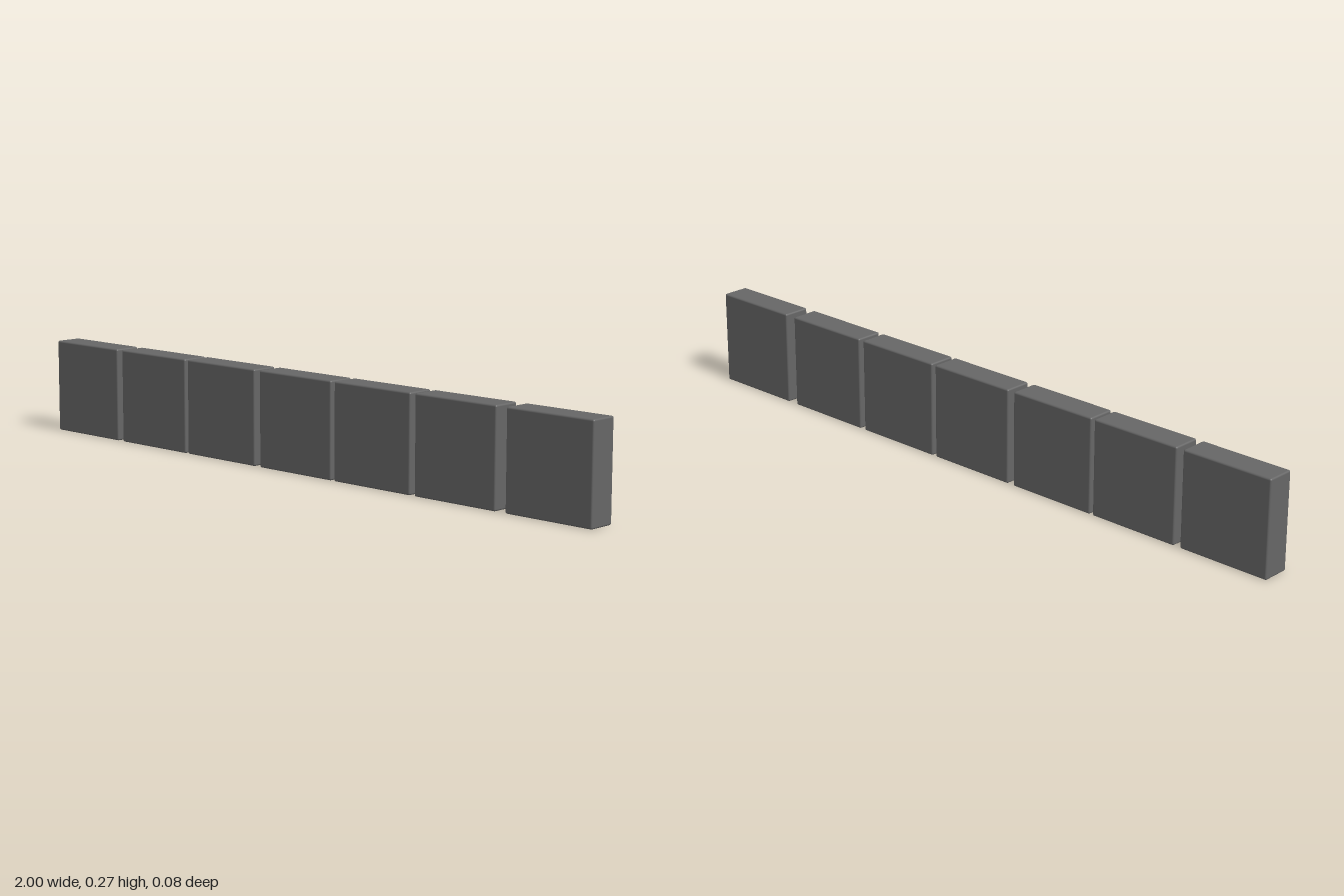
import * as THREE from 'three';
import { RoundedBoxGeometry } from 'three/addons/geometries/RoundedBoxGeometry.js';

export function createModel() {
  const model = new THREE.Group();
  model.name = 'tileRow';

  const darkGrey = new THREE.MeshStandardMaterial({ color: 0x666666 });
  darkGrey.name = 'darkGrey';

  // Square slab with slightly softened edges, shared by every tile
  const size = 0.27, depth = 0.08;
  const slab = new RoundedBoxGeometry(size, size, depth, 2, 0.005);

  // Seven tiles, spaced a little unevenly along x
  const centres = [-0.865, -0.575, -0.295, -0.005, 0.277, 0.563, 0.865];
  centres.forEach((x, i) => {
    const tile = new THREE.Mesh(slab, darkGrey);
    tile.name = `tile${i + 1}`;
    tile.position.set(x, size / 2, 0);
    model.add(tile);
  });

  return model;
}
